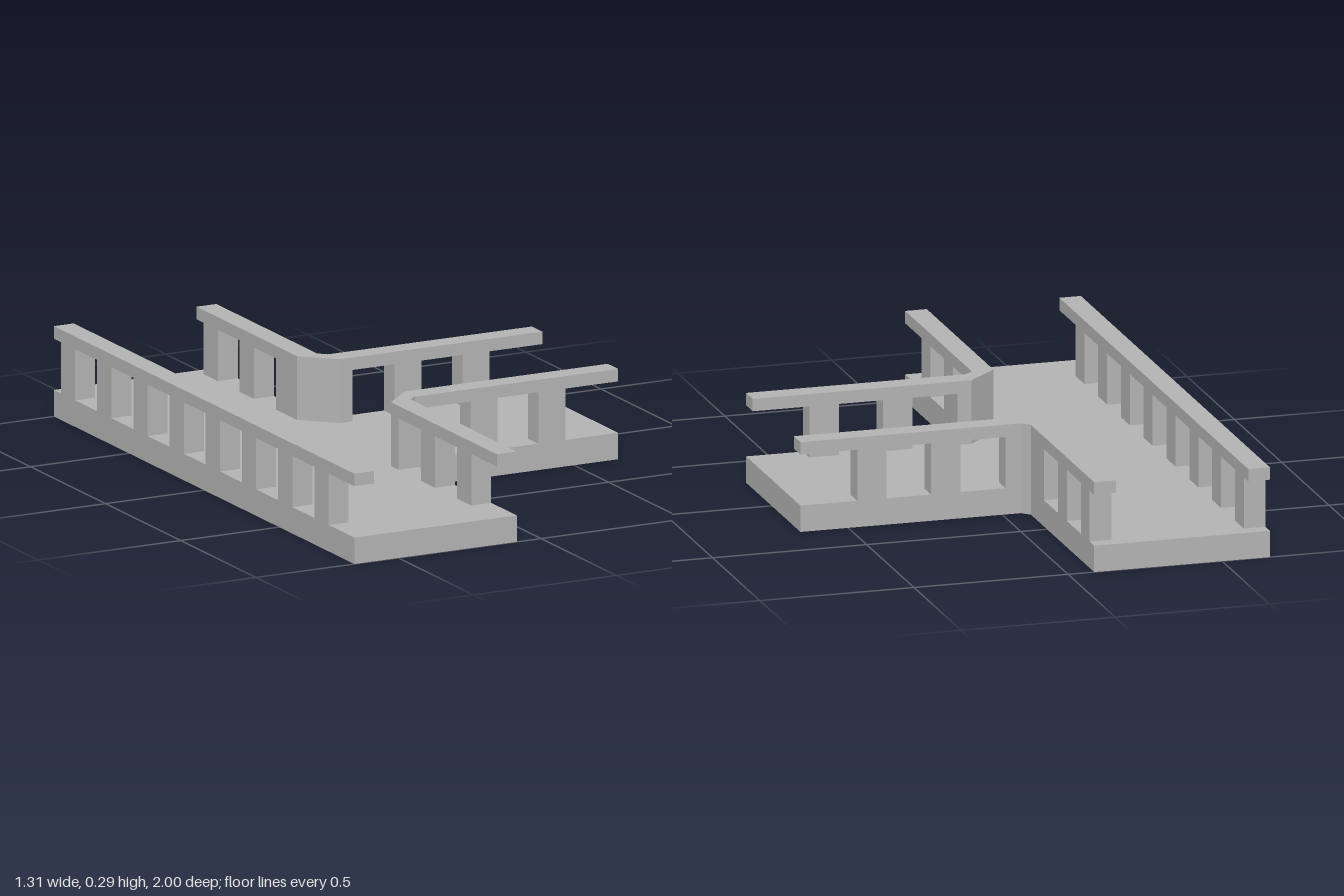
import * as THREE from 'three';

// Heights of the deck, underside of the rails and top of the rails
const DECK = 0.085, UNDER = 0.25, TOP = 0.29;
const HALF = 0.655;                 // half width in x
const POST = 0.095, RAIL = 0.07;    // post length along the rail, rail thickness
const MID = -0.0175;                // z of the branch centre line

export function createModel() {
  const model = new THREE.Group();
  model.name = 'walkwayJunction';
  const stone = new THREE.MeshStandardMaterial({ color: 0xb2b2b2 });
  stone.name = 'grey stone';

  // Prism from a plan outline of [x, z] points between two heights
  const prism = (name, plan, y0, y1) => {
    const shape = new THREE.Shape(plan.map(([x, z]) => new THREE.Vector2(x, -z)));
    const geo = new THREE.ExtrudeGeometry(shape, { depth: y1 - y0, bevelEnabled: false });
    geo.rotateX(-Math.PI / 2).translate(0, y0, 0);
    const mesh = new THREE.Mesh(geo, stone);
    mesh.name = name;
    model.add(mesh);
  };

  const post = (name, x, z, w, d) => {
    const mesh = new THREE.Mesh(new THREE.BoxGeometry(w, UNDER - DECK, d), stone);
    mesh.position.set(x, (DECK + UNDER) / 2, z);
    mesh.name = name;
    model.add(mesh);
  };

  // T-shaped deck with chamfered inner corners
  prism('deck', [
    [-HALF, 1], [-0.085, 1], [-0.085, MID + 0.3125], [-0.06, MID + 0.2875], [HALF, MID + 0.2875],
    [HALF, MID - 0.2875], [-0.06, MID - 0.2875], [-0.085, MID - 0.3125], [-0.085, -1], [-HALF, -1],
  ], 0, DECK);

  // Long straight balustrade
  prism('longRail', [[-HALF, 1], [-HALF + RAIL, 1], [-HALF + RAIL, -1], [-HALF, -1]], UNDER, TOP);
  const postZ = (i) => 0.782 - i * 0.241;
  for (let i = 0; i < 8; i++) post('longRailPost', -HALF + RAIL / 2, postZ(i), RAIL, POST);

  // Two bent balustrades: s = 1 front, s = -1 back
  for (const s of [1, -1]) {
    const side = s > 0 ? 'front' : 'back';
    // Bent strip reaching zEnd along the main deck and xEnd along the branch
    const bend = (zEnd, xEnd) => [
      [-0.155, zEnd], [-0.085, zEnd], [-0.085, MID + s * 0.3125], [-0.06, MID + s * 0.2875],
      [xEnd, MID + s * 0.2875], [xEnd, MID + s * 0.2175], [-0.055, MID + s * 0.2175], [-0.155, MID + s * 0.3125],
    ];
    prism(side + 'BentRail', bend(s, HALF), UNDER, TOP);
    prism(side + 'CornerPost', bend(s > 0 ? 0.345 : -0.47, -0.01), DECK, UNDER);
    for (const i of s > 0 ? [0, 1] : [6, 7]) post(side + 'MainPost', -0.12, postZ(i), RAIL, POST);
    for (const x of [0.184, 0.423]) post(side + 'BranchPost', x, MID + s * 0.2525, POST, RAIL);
  }
  return model;
}
